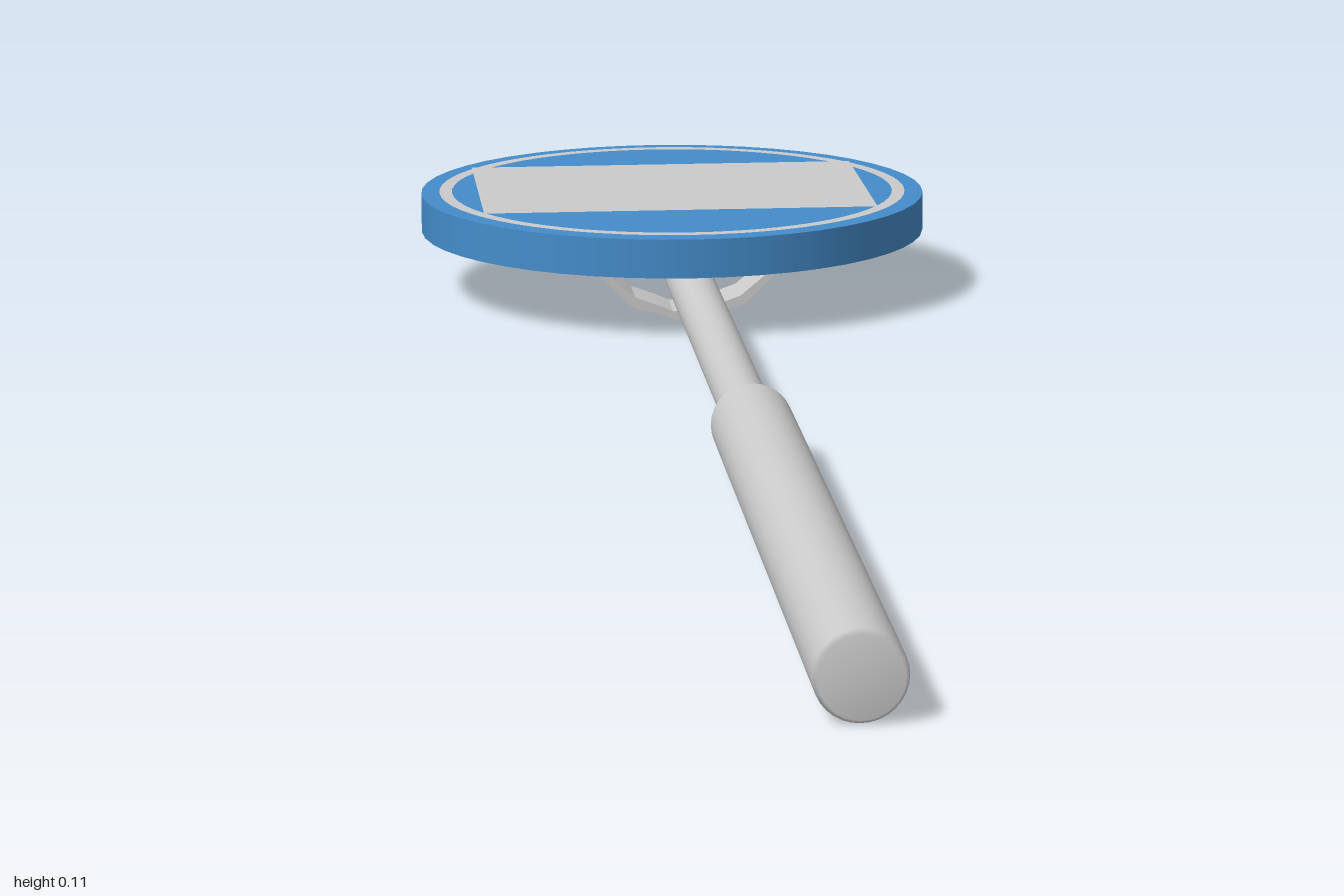
import * as THREE from 'three';

const GREY = new THREE.MeshStandardMaterial({ color: 0xcccccc });
const BLUE = new THREE.MeshStandardMaterial({ color: 0x448cca });
const DISC_Z = -0.722, DISC_R = 0.278, DISC_TOP = 0.11, DISC_BOTTOM = 0.068;
const ROD_X = 0.006, ROD_Y = 0.04;

function add(parent, name, geometry, material) {
  const mesh = new THREE.Mesh(geometry, material);
  mesh.name = name;
  parent.add(mesh);
  return mesh;
}

// Bent strap that passes under the rod and rises to the disc on both sides
function strapGeometry(width) {
  const outer = [[0.108, 0.068], [0.06, 0.021], [0.03, 0.013], [0.012, 0.006]];
  const inner = [[0.016, 0.016], [0.032, 0.023], [0.057, 0.032], [0.1, 0.068]];
  const mirror = (pts) => pts.map(([x, y]) => [-x, y]).reverse();
  const outline = [...outer, ...mirror(outer), ...mirror(inner), ...inner];
  const shape = new THREE.Shape(outline.map(([x, y]) => new THREE.Vector2(x, y)));
  const geometry = new THREE.ExtrudeGeometry(shape, { depth: width, bevelEnabled: false });
  return geometry.translate(0, 0, -width / 2);
}

export function createModel() {
  const model = new THREE.Group();
  model.name = 'signalPaddle';

  // Round head
  const disc = add(model, 'disc',
    new THREE.CylinderGeometry(DISC_R, DISC_R, DISC_TOP - DISC_BOTTOM, 48), BLUE);
  disc.position.set(0, (DISC_TOP + DISC_BOTTOM) / 2, DISC_Z);

  // Thin ring and panel on the face
  const ring = add(model, 'faceRing', new THREE.RingGeometry(0.244, 0.258, 64), GREY);
  ring.rotation.x = -Math.PI / 2;
  ring.position.set(0, DISC_TOP + 0.001, DISC_Z);

  const panel = add(model, 'facePanel', new THREE.PlaneGeometry(0.43, 0.27), GREY);
  panel.rotation.x = -Math.PI / 2;
  panel.position.set(0, DISC_TOP + 0.0015, -0.735);

  // Rod with thicker grip, turned along z
  const profile = [
    [0, -0.918], [0.02, -0.918], [0.025, -0.912], [0.025, 0.07],
    [0.04, 0.11], [0.04, 0.994], [0.036, 1], [0, 1],
  ].map(([r, z]) => new THREE.Vector2(r, z));
  const handle = add(model, 'handle', new THREE.LatheGeometry(profile, 32), GREY);
  handle.rotation.x = Math.PI / 2;
  handle.position.set(ROD_X, ROD_Y, 0);

  // Two straps holding the rod to the disc
  [['frontStrap', -0.552], ['backStrap', -0.882]].forEach(([name, z]) => {
    const strap = add(model, name, strapGeometry(0.062), GREY);
    strap.position.set(0, 0, z);
  });

  return model;
}
